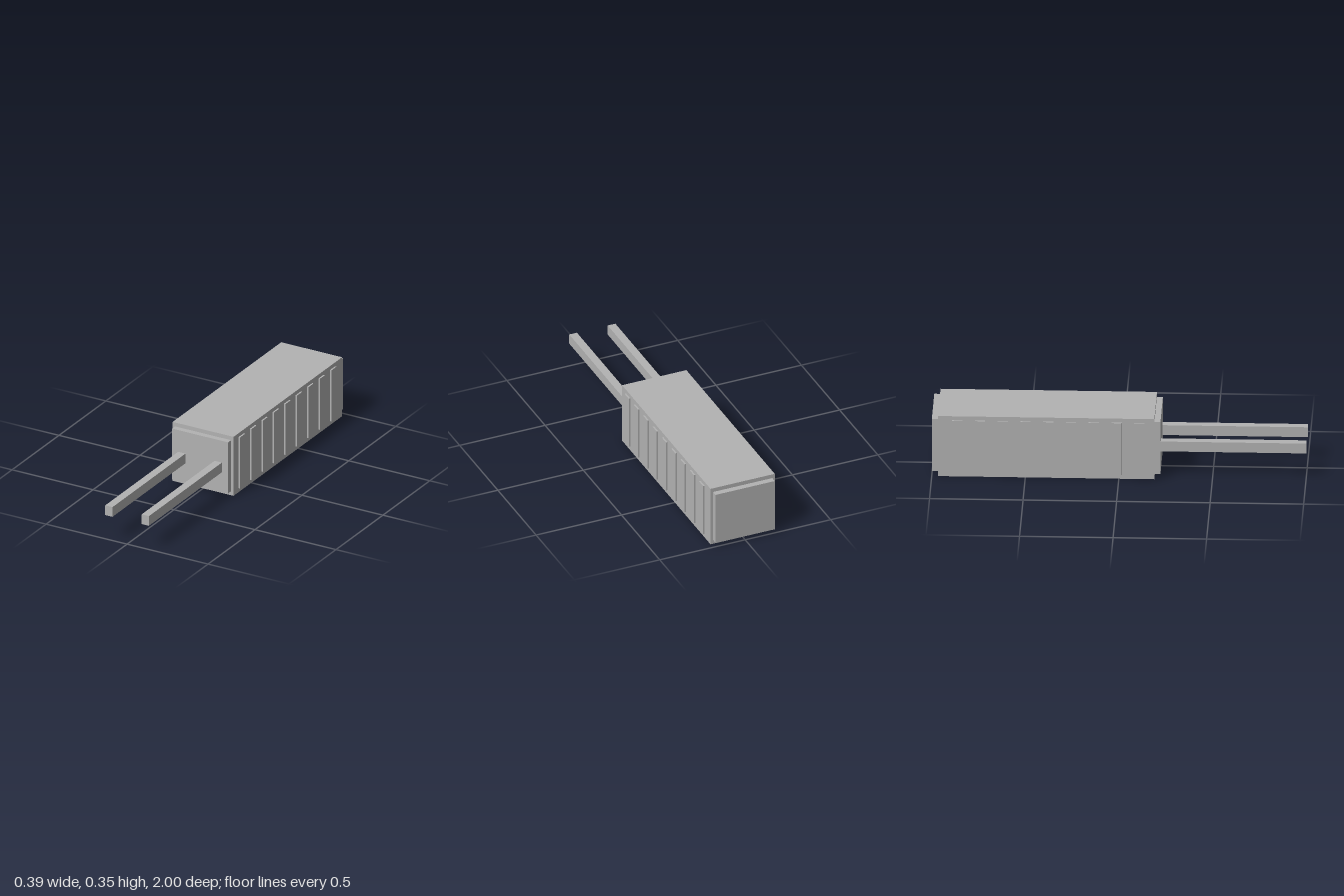
import * as THREE from 'three';

const grey = new THREE.MeshStandardMaterial({ name: 'grey', color: 0xb3b3b3 });

// Box given by its extents on each axis
function box(name, [x0, x1], [y0, y1], [z0, z1]) {
  const mesh = new THREE.Mesh(new THREE.BoxGeometry(x1 - x0, y1 - y0, z1 - z0), grey);
  mesh.name = name;
  mesh.position.set((x0 + x1) / 2, (y0 + y1) / 2, (z0 + z1) / 2);
  return mesh;
}

export function createModel() {
  const model = new THREE.Group();
  model.name = 'prongedBlock';
  const halfWidth = 0.188, front = 0.19, back = -0.967;
  const insetY = [0.024, 0.325];

  // Main block with a smaller raised panel on each end
  model.add(box('body', [-halfWidth, halfWidth], [0, 0.348], [back, front]));
  model.add(box('frontPanel', [-0.173, 0.173], insetY, [front, 0.222]));
  model.add(box('backPanel', [-0.173, 0.173], insetY, [-1, back]));

  for (const [side, s] of [['left', 1], ['right', -1]]) {
    // Long square prong
    const px = s * 0.1125;
    model.add(box(side + 'Prong', [px - 0.0225, px + 0.0225], [0.14, 0.197], [0.222, 1]));

    // Row of upright grip ribs
    const ribs = new THREE.Group();
    ribs.name = side + 'Ribs';
    for (let i = 0; i < 9; i++) {
      const z = 0.11 - i * 0.1217;
      const xs = s > 0 ? [halfWidth, 0.197] : [-0.197, -halfWidth];
      ribs.add(box('rib', xs, insetY, [z - 0.0275, z + 0.0275]));
    }
    model.add(ribs);
  }
  return model;
}
